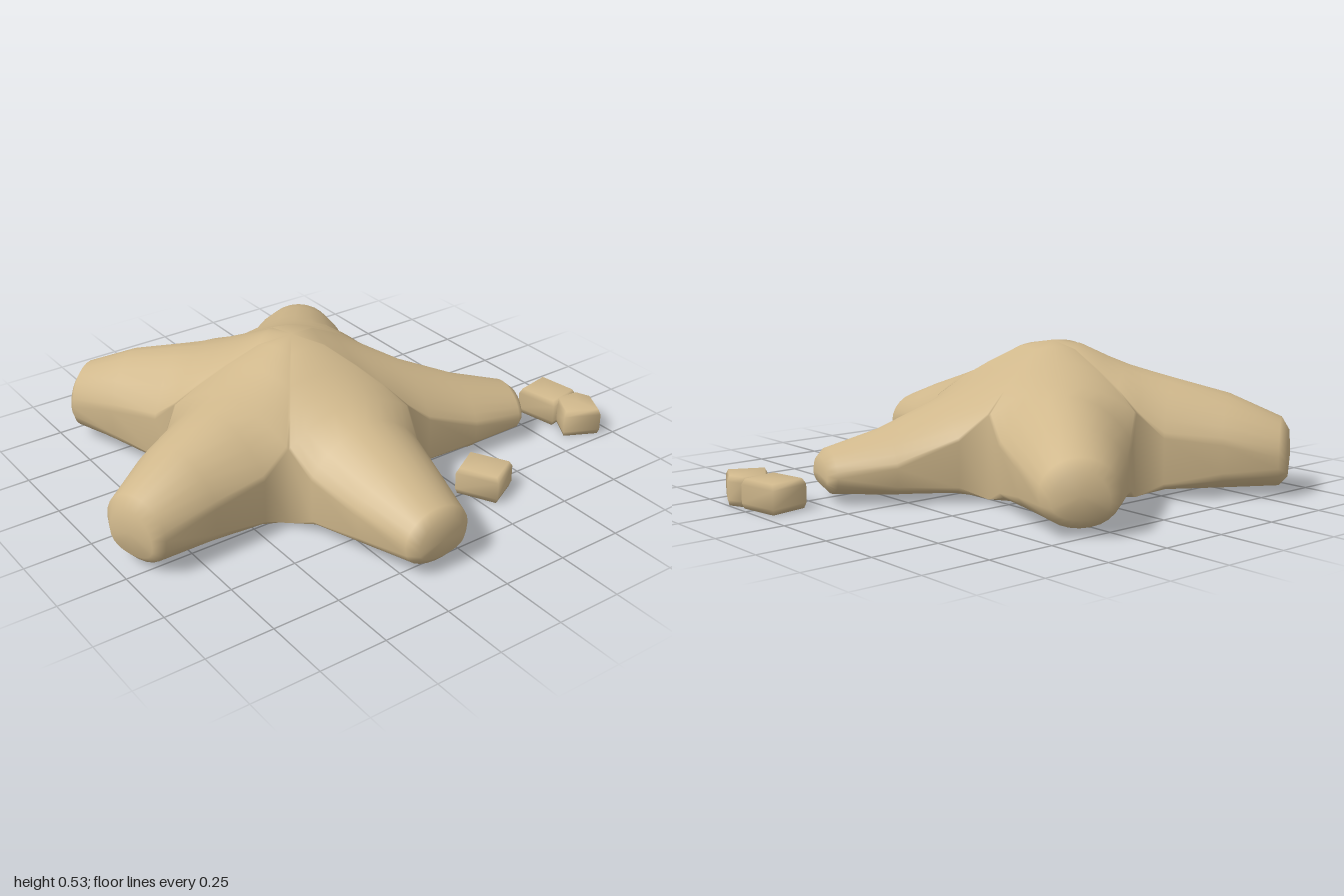
import * as THREE from 'three';
import { mergeVertices } from 'three/addons/utils/BufferGeometryUtils.js';

const sand = new THREE.MeshStandardMaterial({ color: 0xd0b88c });
sand.name = 'sand';

const { lerp, clamp } = THREE.MathUtils;

// Appends the faces between consecutive closed rings of [x, y, z] points.
function loft(out, rings, skip = () => false) {
  for (let i = 0; i < rings.length - 1; i++) {
    const n = rings[i].length;
    for (let j = 0; j < n; j++) {
      if (skip(i, j)) continue;
      const k = (j + 1) % n;
      const a = rings[i][j], b = rings[i + 1][j], c = rings[i + 1][k], d = rings[i][k];
      out.push(...a, ...b, ...d, ...b, ...c, ...d);
    }
  }
}

function smoothMesh(name, positions) {
  let g = new THREE.BufferGeometry();
  g.setAttribute('position', new THREE.Float32BufferAttribute(positions, 3));
  g = mergeVertices(g, 1e-3);
  g.computeVertexNormals();
  const mesh = new THREE.Mesh(g, sand);
  mesh.name = name;
  return mesh;
}

// Stations along an arm; arms share a seam up to station VALLEY.
const VALLEY = 4, SIDES = 24, HALF = SIDES / 2;
const S = [0, 0.1, 0.2, 0.28, 0.356, 0.45, 0.65, 0.84, 0.868, 0.875];
const W = [0, 0, 0, 0, 0, 0.23, 0.185, 0.132, 0.095, 0];
const HIGH = [0.53, 0.52, 0.475, 0.445, 0.425, 0.405, 0.355, 0.275, 0.23, 0.15];
const LOW = [0.53, 0.505, 0.44, 0.4, 0.365, 0.325, 0.24, 0.185, 0.16, 0.1];
const SEAM = [0.53, 0.505, 0.44, 0.38, 0.31, 0.22];
const FLOOR = [0.012, 0.012, 0.012, 0.012, 0.012, 0.01, 0.014, 0.028, 0.06, 0.1];
const CENTRE = [-0.05, 0.13];

const place = (angle, s, y, v) => [
  CENTRE[0] + s * Math.cos(angle) - v * Math.sin(angle), y,
  CENTRE[1] + s * Math.sin(angle) + v * Math.cos(angle),
];

function armRings(angle, high, stretch) {
  return S.map((s0, i) => {
    const s = i > VALLEY ? S[VALLEY] + (s0 - S[VALLEY]) * stretch : s0;
    const w = i <= VALLEY ? s * Math.tan(Math.PI / 5) : W[i];
    const top = lerp(LOW[i], HIGH[i], high);
    const floor = i === 9 ? top : FLOOR[i];
    const mid = i === 9 ? top : i < 6 ? SEAM[i] : top * 0.55;
    const round = clamp((i - VALLEY) / 3, 0, 1);
    const ring = [];
    for (let j = 0; j < SIDES; j++) {
      const a = (j / SIDES) * Math.PI * 2, c = Math.cos(a), n = Math.abs(Math.sin(a));
      let u = c, y;
      if (j <= HALF) {
        y = mid + (top - mid) * Math.pow(n, lerp(2, 1, round)); // back of the arm
        if (j === 0 || j === HALF) y = mid;
      } else {
        u = lerp(clamp(c * 1.1, -1, 1), c, round); // underside, flat near the centre
        y = lerp(floor, mid - (mid - floor) * Math.pow(n, 0.8), round);
      }
      ring.push(place(angle, s, y, u * w));
    }
    return ring;
  });
}

// Pebble from a footprint of corners [x, z].
function pebble(name, corners) {
  const cx = corners.reduce((t, p) => t + p[0], 0) / corners.length;
  const cz = corners.reduce((t, p) => t + p[1], 0) / corners.length;
  const rings = [[0, 0], [0, 0.92], [0.02, 1], [0.085, 1], [0.105, 0.88], [0.105, 0]]
    .map(([y, k]) => corners.map(([x, z]) => [cx + (x - cx) * k, y, cz + (z - cz) * k]));
  const out = [];
  loft(out, rings);
  return smoothMesh(name, out);
}

export function createModel() {
  const group = new THREE.Group();
  group.name = 'starfishWithPebbles';

  // Body: five arms joined along their seams; [back height, stretch] per arm
  const arms = [[0.55, 1], [1, 1], [1, 1], [0.8, 1], [0, 1.04]];
  const body = [];
  arms.forEach(([high, stretch], k) => {
    // leave out the walls hidden inside the seams
    const hidden = (i, j) => i < VALLEY && (j === HALF || j === SIDES - 1);
    loft(body, armRings((k * Math.PI * 2) / 5, high, stretch), hidden);
  });
  group.add(smoothMesh('starfishBody', body));

  // Tube feet beneath the right, rear left and rear arms
  const feet = new THREE.Group();
  feet.name = 'tubeFeet';
  const foot = (x, y, z, r) => {
    const m = new THREE.Mesh(new THREE.SphereGeometry(r, 7, 5), sand);
    m.name = 'tubeFoot';
    m.position.set(x, y, z);
    m.scale.y = 0.7;
    feet.add(m);
  };
  for (const k of [0, 3]) {
    for (const s of [0.45, 0.58, 0.72]) {
      const [x, , z] = place((k * Math.PI * 2) / 5, s, 0, 0);
      foot(x, 0.026, z, 0.024);
    }
  }
  foot(0.25, 0.045, -0.46, 0.05);
  foot(0.25, 0.036, -0.57, 0.033);
  foot(0.25, 0.03, -0.635, 0.026);
  foot(0.17, 0.035, -0.52, 0.035);
  group.add(feet);

  // Loose pebbles
  group.add(pebble('rearPebble', [[0.135, -0.96], [0.3, -0.985], [0.33, -0.84], [0.165, -0.81]]));
  group.add(pebble('cornerPebble', [[0.31, -0.975], [0.37, -1], [0.48, -0.945], [0.415, -0.815], [0.3, -0.88]]));
  group.add(pebble('sidePebble', [[0.56, -0.415], [0.625, -0.29], [0.48, -0.215], [0.41, -0.335]]));

  return group;
}
